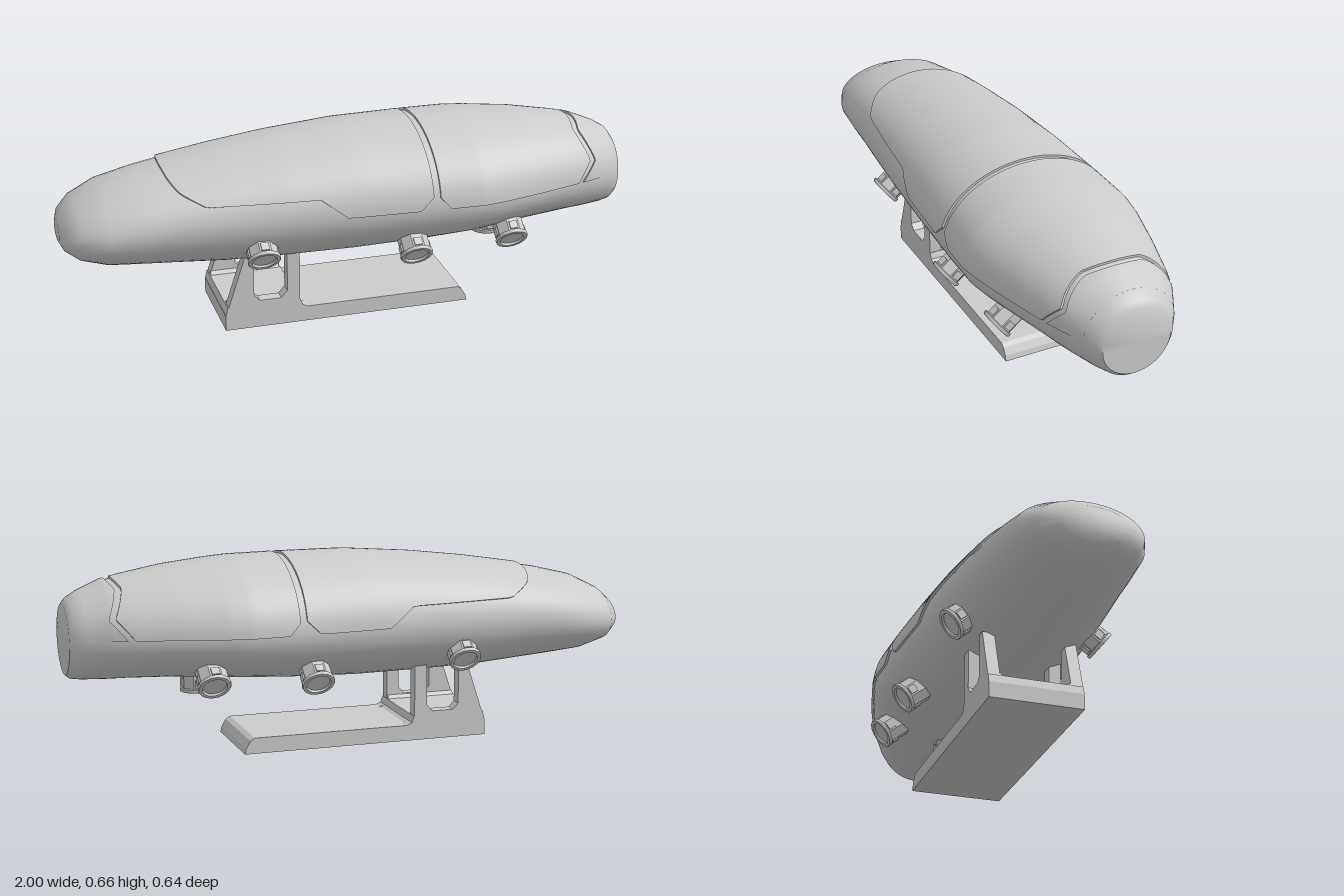
import * as THREE from 'three';
import { toCreasedNormals } from 'three/addons/utils/BufferGeometryUtils.js';

const mat = new THREE.MeshStandardMaterial({ color: 0xcccccc, side: THREE.DoubleSide });

// Hull stations: x, bottom y, top y, half width, height of the widest line
const stations = [
  [-1, 0.38, 0.38, 0, 0.38], [-1, 0.345, 0.415, 0.06, 0.38], [-0.985, 0.318, 0.445, 0.125, 0.38],
  [-0.94, 0.288, 0.485, 0.185, 0.385], [-0.85, 0.262, 0.53, 0.222, 0.395], [-0.72, 0.25, 0.562, 0.238, 0.41],
  [-0.62, 0.242, 0.58, 0.247, 0.42], [-0.45, 0.229, 0.608, 0.262, 0.425], [-0.25, 0.225, 0.634, 0.279, 0.43],
  [0, 0.224, 0.655, 0.294, 0.43], [0.25, 0.234, 0.656, 0.308, 0.43], [0.42, 0.246, 0.654, 0.314, 0.43],
  [0.5, 0.253, 0.648, 0.302, 0.43], [0.65, 0.262, 0.633, 0.265, 0.43], [0.8, 0.266, 0.607, 0.223, 0.43],
  [0.87, 0.266, 0.593, 0.2, 0.428], [0.95, 0.268, 0.566, 0.163, 0.42], [0.985, 0.272, 0.545, 0.138, 0.41],
  [1, 0.285, 0.525, 0.122, 0.405], [1, 0.405, 0.405, 0, 0.405],
];

// Linear lookup in a table of [key, value, ...] rows
function lookup(table, x) {
  let k = 1;
  while (k < table.length - 1 && table[k][0] < x) k++;
  const a = table[k - 1], b = table[k];
  const f = b[0] === a[0] ? 0 : THREE.MathUtils.clamp((x - a[0]) / (b[0] - a[0]), 0, 1);
  return a.map((v, n) => v + (b[n] - v) * f);
}

function sectionPoint([x, bottom, top, half, mid], t, off = 0) {
  const s = Math.sin(t);
  const h = s > 0 ? top - mid : mid - bottom;
  return [x, mid + s * (h + off), Math.cos(t) * (half + off)];
}

// Surface through a grid of points (i along x, j around)
function gridGeometry(ni, nj, point, crease) {
  const pos = [], index = [];
  for (let i = 0; i <= ni; i++) for (let j = 0; j <= nj; j++) pos.push(...point(i, j));
  for (let i = 0; i < ni; i++) for (let j = 0; j < nj; j++) {
    const a = i * (nj + 1) + j, b = a + nj + 1;
    index.push(a, b, b + 1, a, b + 1, a + 1);
  }
  const g = new THREE.BufferGeometry();
  g.setAttribute('position', new THREE.Float32BufferAttribute(pos, 3));
  g.setIndex(index);
  return toCreasedNormals(g, crease);
}

// Raised panel following the hull, with a skirt all round
function panelGeometry(start, end, lowerEdge, offStart, offEnd) {
  const ni = 48, nj = 40;
  return gridGeometry(ni + 2, nj + 2, (i, j) => {
    const rim = i === 0 || j === 0 || i === ni + 2 || j === nj + 2;
    const u = (1 - Math.cos(Math.PI * THREE.MathUtils.clamp((i - 1) / ni, 0, 1))) / 2;
    const v = THREE.MathUtils.clamp((j - 1) / nj, 0, 1);
    const s = Math.sin(Math.PI * v);
    const x = THREE.MathUtils.lerp(start(s), end(s), u);
    const st = lookup(stations, x);
    const y = lookup(lowerEdge, x)[1];
    const t0 = Math.asin(THREE.MathUtils.clamp((y - st[4]) / (st[2] - st[4]), 0, 1));
    const off = rim ? -0.008 : THREE.MathUtils.lerp(offStart, offEnd, u);
    return sectionPoint(st, t0 + (Math.PI - 2 * t0) * v, off);
  }, 0.7);
}

function add(parent, name, geometry, x = 0, y = 0, z = 0) {
  const m = new THREE.Mesh(geometry, mat);
  m.name = name;
  m.position.set(x, y, z);
  parent.add(m);
  return m;
}

function extrudeZ(points, depth) {
  const shape = new THREE.Shape(points.map(p => new THREE.Vector2(...p)));
  return new THREE.ExtrudeGeometry(shape, { depth, bevelEnabled: false });
}

// Octagonal pod pointing along +y, its outer face at the origin
function createPod() {
  const pod = new THREE.Group();
  pod.name = 'pod';
  const ring = (name, r0, r1, h, y) => {
    const g = new THREE.CylinderGeometry(r0, r1, h, 8);
    g.rotateY(Math.PI / 8);
    add(pod, name, toCreasedNormals(g, 0.3), 0, y, 0);
  };
  ring('podBody', 0.052, 0.052, 0.1, -0.06);
  // Flange with a recessed round face
  const profile = [[0, -0.008], [0.041, -0.008], [0.043, 0], [0.055, 0], [0.057, -0.004], [0.057, -0.012], [0.05, -0.014]];
  const flange = new THREE.LatheGeometry(profile.map(p => new THREE.Vector2(...p)).reverse(), 16);
  add(pod, 'podFlange', toCreasedNormals(flange, 0.5));
  // Small blocks on the sides
  for (const a of [0, 1, 2, 3]) {
    const block = add(pod, 'podBlock', new THREE.BoxGeometry(0.008, 0.028, 0.028));
    block.position.set(Math.cos(a * Math.PI / 2) * 0.049, -0.032, Math.sin(a * Math.PI / 2) * 0.049);
    block.rotation.y = -a * Math.PI / 2;
  }
  return pod;
}

export function createModel() {
  const model = new THREE.Group();
  model.name = 'craftOnStand';

  // Hull
  const around = 48;
  add(model, 'hull', gridGeometry(stations.length - 1, around,
    (i, j) => sectionPoint(stations[i], (j % around) / around * Math.PI * 2), 0.75));

  // Upper shell panels and nose lip
  const noseSeam = [[0, 0.8], [0.4, 0.858], [0.88, 0.82], [1, 0.835]];
  const seam = s => lookup(noseSeam, s)[1];
  add(model, 'rearShell', panelGeometry(() => -0.645, () => 0.238,
    [[-0.645, 0.576], [-0.635, 0.56], [-0.61, 0.535], [-0.53, 0.497], [-0.15, 0.497], [-0.06, 0.43], [0.19, 0.43], [0.238, 0.475]],
    0.008, 0.008));
  add(model, 'frontShell', panelGeometry(() => 0.262, seam,
    [[0.262, 0.47], [0.3, 0.43], [0.8, 0.43]], 0.008, 0.008));
  add(model, 'noseLip', panelGeometry(s => seam(s) + 0.022, () => 0.95,
    [[0.8, 0.43], [0.95, 0.42]], 0.008, 0));

  // Pods: three mirrored pairs and one underneath
  const up = new THREE.Vector3(0, 1, 0);
  const placePod = (x, y, z, dir) => {
    const pod = createPod();
    pod.position.set(x, y, z);
    pod.quaternion.setFromUnitVectors(up, dir.normalize());
    model.add(pod);
  };
  for (const side of [-1, 1]) {
    for (const [x, y, z] of [[-0.345, 0.295, 0.268], [0.19, 0.252, 0.28], [0.545, 0.262, 0.262]])
      placePod(x, y, side * z, new THREE.Vector3(0, -0.62, side * 0.78));
  }
  placePod(0.545, 0.197, 0, new THREE.Vector3(0, -1, 0));

  // Stand: base plate, raised floor and two notched side walls
  const stand = new THREE.Group();
  stand.name = 'stand';
  stand.position.z = -0.005;
  model.add(stand);
  add(stand, 'standBase', extrudeZ([[-0.46, 0], [0.42, 0], [0.415, 0.02], [0.4, 0.045], [0.385, 0.055],
    [-0.46, 0.055]], 0.33), 0, 0, -0.165);
  add(stand, 'standFloor', extrudeZ([[-0.46, 0.05], [-0.165, 0.05], [-0.185, 0.063], [-0.193, 0.085],
    [-0.452, 0.085]], 0.33), 0, 0, -0.165);
  const wall = [[-0.46, 0.05], [-0.155, 0.05], [-0.185, 0.063], [-0.195, 0.085], [-0.195, 0.265], [-0.24, 0.265],
    [-0.24, 0.125], [-0.262, 0.1], [-0.338, 0.1], [-0.358, 0.12], [-0.358, 0.265], [-0.39, 0.265]];
  for (const side of [-1, 1]) {
    add(stand, 'standWall', extrudeZ(wall, 0.042), 0, 0, side * 0.144 - 0.021);
    // Chamfer where the wall meets the floor
    const chamfer = new THREE.Shape([[0, 0], [0.012, 0], [0, 0.012]].map(p => new THREE.Vector2(...p)));
    const strip = add(stand, 'standChamfer', new THREE.ExtrudeGeometry(chamfer, { depth: 0.25, bevelEnabled: false }));
    strip.rotation.y = Math.PI / 2;
    strip.scale.x = side;
    strip.position.set(-0.448, 0.085, side * 0.123);
  }
  return model;
}
